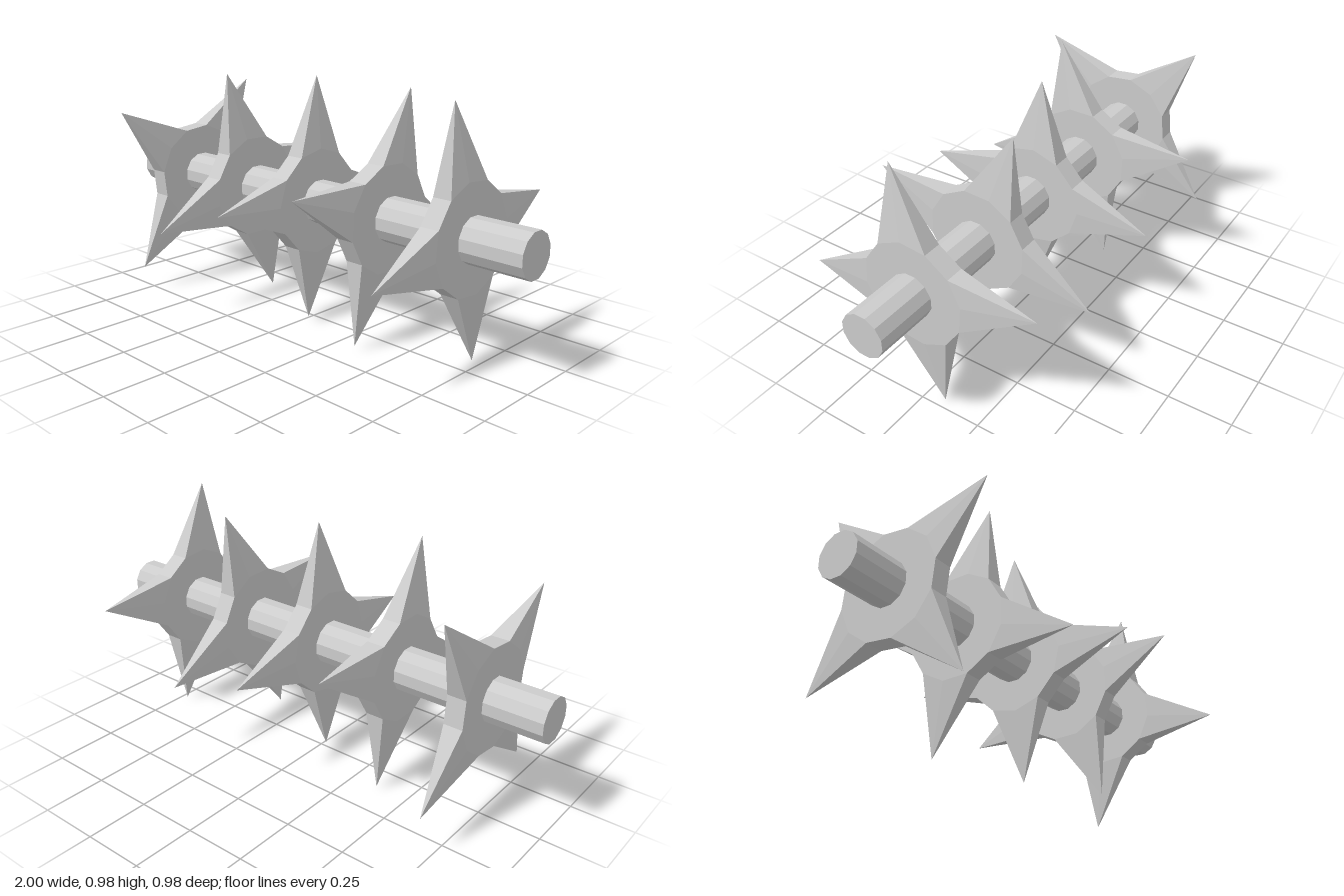
import * as THREE from 'three';

const AXIS_Y = 0.49;      // height of the shaft axis
const HUB_R = 0.209;      // twelve-sided hub of each blade
const TIP_R = 0.489;      // reach of the spikes
const HALF = 0.037;       // half thickness of a blade
const STEP = Math.PI / 6;

// Four-spiked blade around the x axis; the angle runs from +y towards +z
function starGeometry() {
  const pos = [];
  const tri = (...pts) => pts.forEach(p => pos.push(...p));
  const at = (x, r, i) => [x, r * Math.cos(i * STEP), r * Math.sin(i * STEP)];
  const rim = (side, i) => at(side * HALF, HUB_R, i);

  // flat hub faces
  for (let i = 0; i < 12; i++) {
    tri([HALF, 0, 0], rim(1, i), rim(1, i + 1));
    tri([-HALF, 0, 0], rim(-1, i + 1), rim(-1, i));
  }
  for (let s = 0; s < 12; s += 3) {
    // spike spanning two hub segments, tapering to a point
    const tip = at(0, TIP_R, s);
    const base = [rim(1, s - 1), rim(1, s), rim(1, s + 1), rim(-1, s + 1), rim(-1, s), rim(-1, s - 1)];
    base.forEach((p, k) => tri(base[(k + 1) % 6], p, tip));
    // hub rim left bare between two spikes
    const [a, b, c, d] = [rim(1, s + 1), rim(-1, s + 1), rim(-1, s + 2), rim(1, s + 2)];
    tri(a, b, c);
    tri(a, c, d);
  }
  const geo = new THREE.BufferGeometry();
  geo.setAttribute('position', new THREE.Float32BufferAttribute(pos, 3));
  geo.computeVertexNormals();
  return geo;
}

export function createModel() {
  const group = new THREE.Group();
  group.name = 'spikedRoller';
  const grey = new THREE.MeshStandardMaterial({ color: 0xcccccc, flatShading: true });

  // shaft
  const shaft = new THREE.Mesh(new THREE.CylinderGeometry(0.086, 0.086, 2, 12, 1, false, Math.PI / 12), grey);
  shaft.name = 'shaft';
  shaft.rotation.z = Math.PI / 2;
  shaft.position.y = AXIS_Y;
  group.add(shaft);

  // blades: position along the shaft and turn in degrees
  const star = starGeometry();
  const blades = [[-0.735, -38.6], [-0.37, 14], [-0.007, -2.7], [0.355, -17.5], [0.718, 9.7]];
  blades.forEach(([x, turn], i) => {
    const blade = new THREE.Mesh(star, grey);
    blade.name = `starBlade${i + 1}`;
    blade.position.set(x, AXIS_Y, 0);
    blade.rotation.x = THREE.MathUtils.degToRad(turn);
    group.add(blade);
  });
  return group;
}
